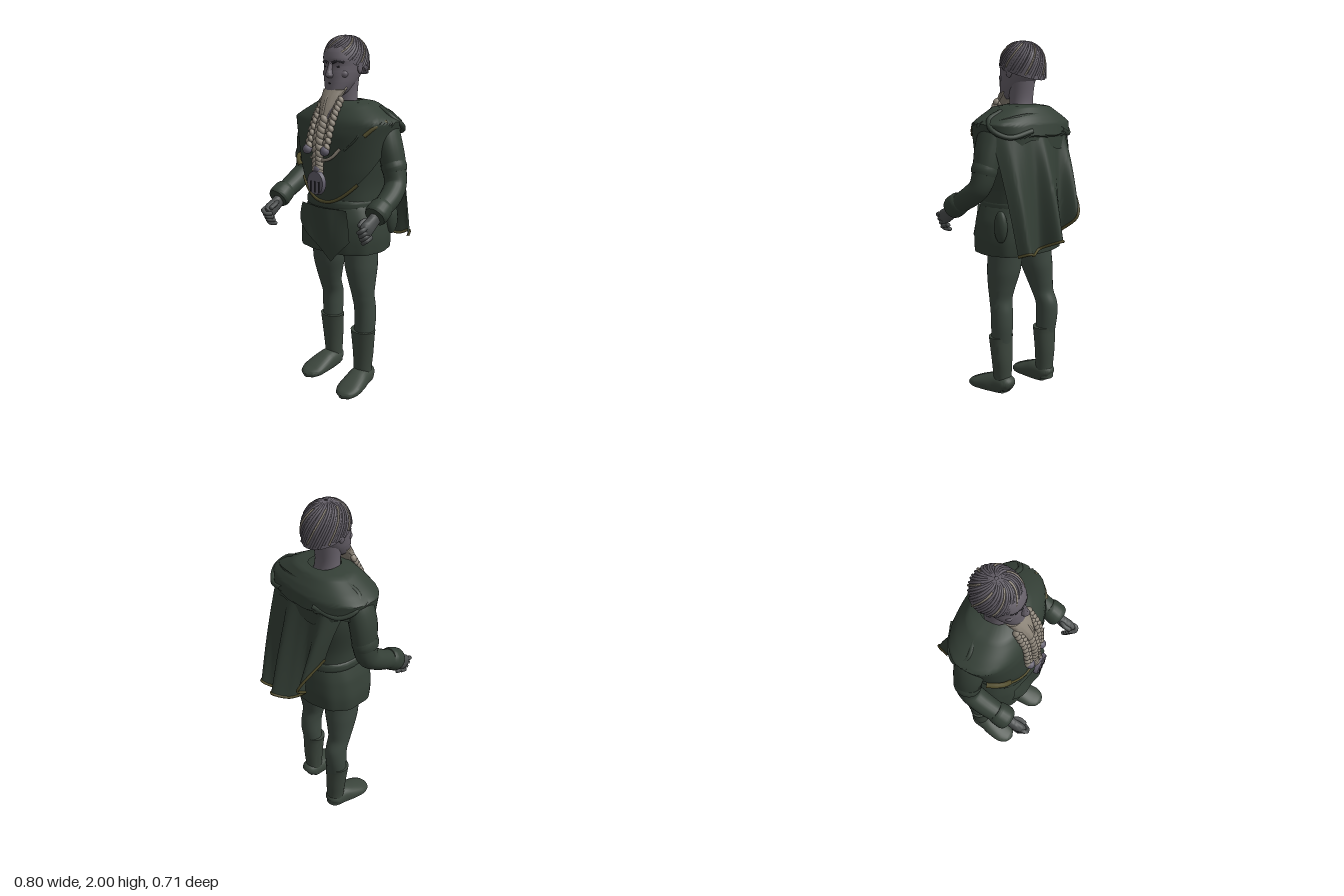
import * as THREE from 'three';
import { toCreasedNormals, mergeVertices } from 'three/addons/utils/BufferGeometryUtils.js';

const V = (x, y, z) => new THREE.Vector3(x, y, z);
const { clamp, lerp } = THREE.MathUtils;
const paint = (name, color, side = THREE.FrontSide) => {
  const m = new THREE.MeshStandardMaterial({ color, side });
  m.name = name;
  return m;
};

// Grid surface from f(u, v); outward when u runs x to z and v runs up
function sheet(f, nu, nv) {
  const pos = [], idx = [];
  for (let j = 0; j <= nv; j++) for (let i = 0; i <= nu; i++) pos.push(...f(i / nu, j / nv).toArray());
  for (let j = 0; j < nv; j++) for (let i = 0; i < nu; i++) {
    const a = j * (nu + 1) + i, b = a + 1, c = a + nu + 1, d = c + 1;
    idx.push(a, c, b, b, c, d);
  }
  const g = new THREE.BufferGeometry();
  g.setAttribute('position', new THREE.Float32BufferAttribute(pos, 3));
  g.setIndex(idx);
  return toCreasedNormals(mergeVertices(g, 1e-5), 0.9);
}

// Capped loft through stations [x, y, z, ru, rv]; level keeps the rings horizontal
function loft(st, { level = true, n = 2, seg = 28, rows = 6, wave = 0, folds = 9, floor = -1 } = {}) {
  const path = new THREE.CatmullRomCurve3(st.map(s => V(s[0], s[1], s[2])));
  const rad = new THREE.CatmullRomCurve3(st.map(s => V(s[3], s[4], 0)));
  const total = rows * (st.length - 1);
  return sheet((u, v) => {
    const k = Math.round(v * (total + 2)) - 1;
    const t = clamp(k / total, 0, 1);
    const c = path.getPoint(t), r = rad.getPoint(t);
    if (k < 0 || k > total) return c;
    const tan = level ? V(0, 1, 0) : path.getTangent(t);
    const U = V(1, 0, 0).addScaledVector(tan, -tan.x).normalize(), W = U.clone().cross(tan);
    const a = (u % 1) * Math.PI * 2, w = 1 + wave * (1 - t) * Math.cos(folds * a);
    const e = q => Math.sign(q) * Math.abs(q) ** (2 / n) * w;
    c.addScaledVector(U, r.x * e(Math.cos(a))).addScaledVector(W, r.y * e(Math.sin(a)));
    c.y = Math.max(c.y, floor);
    return c;
  }, seg, total + 2);
}

const curve = pts => new THREE.CatmullRomCurve3(pts.map(p => V(...p)));
const tube = (pts, r, seg = 16) => new THREE.TubeGeometry(curve(pts), seg, r, 7);

export function createModel() {
  const coat = paint('coat green', 0x343f36, THREE.DoubleSide), trousers = paint('trouser green', 0x3d4840);
  const boot = paint('boot green', 0x3c463d), skin = paint('skin', 0x67616a), hair = paint('hair', 0x625d66, THREE.DoubleSide);
  const beard = paint('beard', 0x8d8579), trim = paint('olive trim', 0x514c2b);
  const metal = paint('pewter', 0x625e6c), dark = paint('dark detail', 0x25242a), glove = paint('hand grey', 0x4a4d4d);
  const root = new THREE.Group();
  const add = (name, geo, mat, parent = root) => {
    const m = new THREE.Mesh(geo, mat);
    m.name = name;
    parent.add(m);
    return m;
  };
  const group = name => { const g = new THREE.Group(); g.name = name; root.add(g); return g; };
  const ball = (name, p, s, mat, parent) => {
    const m = add(name, new THREE.SphereGeometry(1, 16, 12), mat, parent);
    m.position.set(...p); m.scale.set(...s);
    return m;
  };

  // Legs, boots and feet: the right one stands further back
  for (const s of [1, -1]) {
    const g = group(s > 0 ? 'leftLeg' : 'rightLeg');
    const shift = y => (s > 0 ? 0 : -0.08 * clamp((0.85 - y) / 0.35, 0, 1));
    const st = (x, y, z, rx, rz) => [s * x - 0.016, y, z + shift(y), rx, rz];
    add('trouserLeg', loft([st(.15, .3, .02, .058, .055), st(.153, .42, .01, .062, .064), st(.152, .5, .013, .061, .066),
      st(.147, .57, .024, .065, .066), st(.14, .64, .024, .075, .08), st(.128, .74, .018, .092, .098), st(.115, .9, .01, .1, .105)]), trousers, g);
    add('bootShaft', loft([st(.143, .03, .015, .052, .052), st(.143, .1, .018, .053, .053), st(.146, .2, .018, .061, .058),
      st(.148, .33, .024, .073, .062), st(.148, .352, .024, .076, .064)]), boot, g);
    const z0 = s > 0 ? 0 : -.062;
    const foot = [[.143, .04, -.04, .03, .035], [.143, .055, -.018, .056, .055], [.146, .055, .05, .062, .06],
      [.154, .045, .11, .07, .05], [.16, .032, .18, .072, .035], [.162, .022, .228, .05, .023], [.162, .016, .246, .016, .013]];
    add('foot', loft(foot.map(([x, y, z, a, b]) => [s * x - .016, y, z + z0, a, b]), { level: false, n: 2.3, floor: 0 }), boot, g);
  }

  // Tunic, belt and skirt
  add('tunic', loft([[0, 1.03, .01, .205, .18], [0, 1.2, .01, .212, .175], [0, 1.4, -.005, .25, .178], [0, 1.56, -.01, .24, .14], [0, 1.63, -.01, .14, .09]], { n: 2.4 }), coat);
  add('skirt', loft([[-.006, .855, .015, .23, .172], [-.006, .85, .015, .258, .194], [-.004, .92, .015, .26, .199], [0, 1.03, .015, .242, .194], [0, 1.1, .012, .215, .183], [0, 1.13, .01, .2, .175]],
    { n: 2.5, seg: 72, wave: .015, folds: 11 }), coat);
  add('belt', loft([[-.005, 1.095, .012, .21, .184], [-.005, 1.105, .012, .216, .189], [-.005, 1.135, .012, .214, .187], [-.005, 1.145, .012, .206, .182]], { n: 2.4, rows: 3 }), coat);
  add('skirtFlap', sheet((u, v) => {
    const bottom = u < .8 ? 1.0 - .19 * u / .8 : .81 + .12 * (u - .8) / .2;
    const x = lerp(-.2 + .33 * u + (u > .8 ? (u - .8) * .2 : 0), -.18 + .32 * u, v);
    const y = lerp(bottom, 1.1, v);
    return V(x, y, .015 + (.212 - .016 * v) * (1 - Math.abs(x / .27) ** 2.5) ** .4 + .006 * Math.sin(u * 9 + v * 3));
  }, 30, 10), coat);
  ball('pouch', [.245, 1.02, -.085], [.03, .088, .042], coat);

  // Shoulder mantle with a pointed, full front
  const rows = [[1.0, .17, .185], [1.12, .2, .2], [1.2, .232, .205], [1.3, .268, .205], [1.4, .287, .203], [1.5, .305, .2],
    [1.565, .322, .185], [1.6, .265, .165], [1.655, .165, .12], [1.665, .08, .075]];
  const mantlePoint = (a, v, lift = 0) => {
    const c = Math.cos(a), s = Math.sin(a);
    const hem = s > 0 ? 1.45 - .32 * s ** 1.1 : 1.45 + .03 * Math.cos(a * 5);
    const y = lerp(hem, 1.665, v);
    const i = clamp(rows.findIndex(r => r[0] >= y - 1e-6), 1, rows.length - 1);
    const p = rows[i - 1], q = rows[i], t = (y - p[0]) / (q[0] - p[0]);
    const e = w => Math.sign(w) * Math.abs(w) ** .87;
    const r = k => lerp(p[k], q[k], t) + lift;
    return V(r(1) * e(c) - .008, y, r(2) * e(s) - .005 - (y > 1.5 && s < 0 ? .012 : 0));
  };
  const TAU = Math.PI * 2;
  add('mantle', sheet((u, v) => mantlePoint((u % 1) * TAU, v), 64, 28), coat);
  const hemPts = [...Array(19)].map((_, i) => mantlePoint(.75 + i / 18 * 1.64, 0, .002).toArray());
  add('mantleHem', tube(hemPts, .009, 60), trim);
  for (const s of [1, -1]) {
    add('lapelFold', tube([[s * .11, 1.655, .05], [s * .17, 1.6, .105], [s * .19, 1.5, .155], [s * .12, 1.42, .183]], .005), coat);
    add('shoulderFold', tube([[s * .19, 1.63, -.04], [s * .27, 1.59, -.03], [s * .305, 1.54, -.08], [s * .25, 1.5, -.15], [s * .12, 1.53, -.2]], .014, 24), coat);
  }
  add('chestClasp', tube([[-.285, 1.345, .07], [-.262, 1.34, .115], [-.235, 1.325, .145], [-.2, 1.3, .165]], .014), trim);
  add('shoulderClasp', tube([[.22, 1.5, .145], [.26, 1.545, .1], [.29, 1.57, .04]], .011), trim);

  // Back cape hanging in deep folds
  const capeTop = curve([[-.25, 1.5, -.11], [-.19, 1.55, -.155], [-.11, 1.59, -.165], [-.04, 1.61, -.165], [.04, 1.62, -.165], [.11, 1.62, -.16], [.18, 1.61, -.14], [.25, 1.59, -.1], [.3, 1.57, -.05]]);
  const capeHem = curve([[-.21, 1.25, -.2], [-.125, 1.06, -.32], [-.075, .96, -.225], [-.02, .93, -.29], [.058, .95, -.355], [.11, .9, -.24], [.175, .88, -.26], [.23, .9, -.287], [.262, .88, -.225]]);
  add('cape', sheet((u, v) => {
    const p = capeHem.getPoint(u).lerp(capeTop.getPoint(u), v);
    p.z -= .012 * Math.sin(v * Math.PI);
    return p;
  }, 64, 24), coat);
  add('capeHem', new THREE.TubeGeometry(capeHem, 80, .008, 6), trim);

  // Arms bent forward, with cuffs and loosely closed hands
  for (const s of [1, -1]) {
    const g = group(s > 0 ? 'leftArm' : 'rightArm');
    const at = ([x, y, z, ...r]) => s > 0
      ? [x - .03 * clamp((y - 1.2) / .2, 0, 1), y, z - .025 * clamp(z / .15, 0, 1), ...r] : [-x, y, z, ...r];
    const limb = (name, st, mat, n = 2) => add(name, loft(st.map(at), { level: false, n, rows: 5, seg: 20 }), mat, g);
    limb('sleeve', [[.22, 1.58, -.03, .045, .06], [.265, 1.53, -.025, .062, .08], [.297, 1.44, -.02, .066, .08], [.317, 1.32, -.022, .062, .07],
      [.325, 1.235, -.005, .06, .06], [.332, 1.185, .06, .06, .058], [.334, 1.13, .17, .054, .052]], coat);
    limb('sleeveFold', [[.312, 1.35, -.02, .064, .073], [.318, 1.325, -.02, .067, .075], [.322, 1.3, -.018, .063, .07]], coat);
    limb('cuff', [[.334, 1.148, .145, .054, .054], [.334, 1.138, .163, .062, .062], [.333, 1.112, .205, .065, .064], [.333, 1.102, .222, .058, .058]], coat);
    limb('palm', [[.332, 1.11, .19, .028, .034], [.33, 1.075, .24, .027, .037], [.33, 1.05, .285, .028, .042], [.328, 1.035, .312, .02, .036]], glove, 2.3);
    for (let i = 0; i < 4; i++) {
      const y = 1.066 - i * .021, z = .318 - i * .012;
      add('finger', tube([[.338, y, z - .025], [.34, y - .01, z + .016], [.32, y - .024, z + .02], [.306, y - .03, z - .006]].map(at), .0125, 10), glove, g);
      ball('fingertip', at([.306, y - .03, z - .006]), [.0125, .0125, .0125], glove, g);
    }
    add('thumb', tube([[.32, 1.09, .24], [.3, 1.085, .275], [.302, 1.07, .305]].map(at), .0135, 10), glove, g);
    ball('thumbTip', at([.302, 1.07, .305]), [.0135, .0135, .0135], glove, g);
  }

  // Neck, head and face
  const head = group('head'), hx = -.017;
  add('neck', loft([[hx, 1.58, -.01, .085, .07], [hx, 1.68, 0, .07, .062], [hx, 1.82, -.005, .078, .075]]), skin, head);
  add('face', loft([[hx, 1.69, .085, .035, .04], [hx, 1.71, .07, .056, .066], [hx, 1.76, .042, .079, .09], [hx, 1.81, .018, .092, .11],
    [hx, 1.85, .01, .097, .113], [hx, 1.88, .008, .099, .122], [hx, 1.93, 0, .095, .115], [hx, 1.975, -.01, .06, .07]], { n: 2.2 }), skin, head);
  add('nose', loft([[hx, 1.785, .125, .012, .012], [hx, 1.797, .134, .021, .024], [hx, 1.825, .13, .013, .02], [hx, 1.87, .118, .01, .012]]), skin, head);
  add('mouth', tube([[hx - .028, 1.754, .117], [hx, 1.757, .13], [hx + .028, 1.754, .117]], .004), dark, head);
  for (const s of [1, -1]) {
    add('brow', tube([[hx + s * .014, 1.862, .126], [hx + s * .04, 1.872, .116], [hx + s * .07, 1.864, .094]], .007), dark, head);
    ball('eye', [hx + s * .036, 1.843, .11], [.015, .006, .007], dark, head);
    ball('cheek', [hx + s * .048, 1.805, .084], [.034, .026, .024], skin, head);
    ball('ear', [hx + s * .1, 1.835, .0], [.01, .03, .02], skin, head);
  }

  // Hair cap with strands swirling from the crown
  const limit = a => {
    const s = Math.sin(a);
    return Math.acos(((s > 0 ? 1.835 + .085 * s ** 2 : 1.835 + .045 * s) - 1.865) / .133);
  };
  const hairPoint = (a, phi, lift = 0) => {
    const r = Math.sin(Math.min(phi, Math.PI / 2)) ** .8;
    return V(hx + (.113 + lift) * r * Math.cos(a), 1.865 + (.131 + lift * .5) * Math.cos(phi), -.01 + (.131 + lift) * r * Math.sin(a));
  };
  add('hairCap', sheet((u, v) => { const a = (u % 1) * TAU; return hairPoint(a, limit(a) * (1 - v)); }, 48, 18), hair, head);
  for (let i = 0; i < 35; i++) {
    const light = i % 5 === 0;
    const pts = [...Array(8)].map((_, k) => {
      const t = (light ? .25 : .02) + (light ? .7 : .96) * k / 7, a = i / 35 * TAU + t * 1.1;
      return hairPoint(a, limit(a) * t * (i % 2 ? 1 : .94), light ? .004 : 0).toArray();
    });
    add('hairStrand', tube(pts, light ? .005 : .0065, 14), light ? beard : hair, head);
  }

  // Beard, braids, beads and pendant
  const b = group('beard');
  add('chinBeard', loft([[-.024, 1.53, .19, .014, .014], [-.023, 1.58, .17, .03, .028], [-.02, 1.64, .142, .047, .038], [-.018, 1.69, .113, .06, .042], [-.017, 1.725, .088, .068, .045]],
    { seg: 48, wave: .05, folds: 12 }), beard, b);
  for (let i = -4; i <= 4; i++) add('beardStrand', tube([[hx + i * .0165, 1.735 - .004 * (4 - Math.abs(i)), .128 - i * i * .0035], [hx + i * .012, 1.65, .174 - Math.abs(i) * .008],
    [hx + i * .006, 1.555, .2 - Math.abs(i) * .004]], .0065), i % 2 ? hair : beard, b);
  const braid = (pts, count, r) => {
    const c = curve(pts);
    for (let i = 0; i <= count; i++) for (const s of [1, -1]) {
      const p = c.getPoint(i / count);
      ball('braidLock', [p.x + s * r * .55, p.y + s * .006, p.z], [r * .8, r * 1.25, r], beard, b).rotation.z = s * .6;
    }
  };
  braid([[-.022, 1.57, .185], [-.03, 1.48, .212], [-.03, 1.37, .22], [-.022, 1.3, .23]], 10, .023);
  braid([[-.07, 1.67, .125], [-.08, 1.57, .18], [-.1, 1.43, .215]], 9, .017);
  braid([[.045, 1.67, .125], [.04, 1.57, .185], [.022, 1.43, .215]], 9, .017);
  for (const x of [-.1, .022]) ball('bead', [x, 1.412, .222], [.026, .026, .026], metal, b);
  add('hornOrnament', tube([[-.08, 1.37, .215], [-.02, 1.36, .222], [.05, 1.375, .215], [.1, 1.43, .19]], .009, 20), beard, b);
  const disc = add('pendant', new THREE.CylinderGeometry(.054, .06, .022, 28), metal, b);
  disc.rotation.x = Math.PI / 2;
  disc.position.set(-.018, 1.243, .248);
  disc.scale.z = 1.15;
  ball('pendantLoop', [-.018, 1.312, .242], [.022, .022, .014], metal, b);
  for (const x of [-.028, 0, .028]) {
    const bar = add('pendantGroove', new THREE.BoxGeometry(.009, .06, .004), dark, b);
    bar.position.set(-.018 + x, 1.222, .26);
  }
  return root;
}
